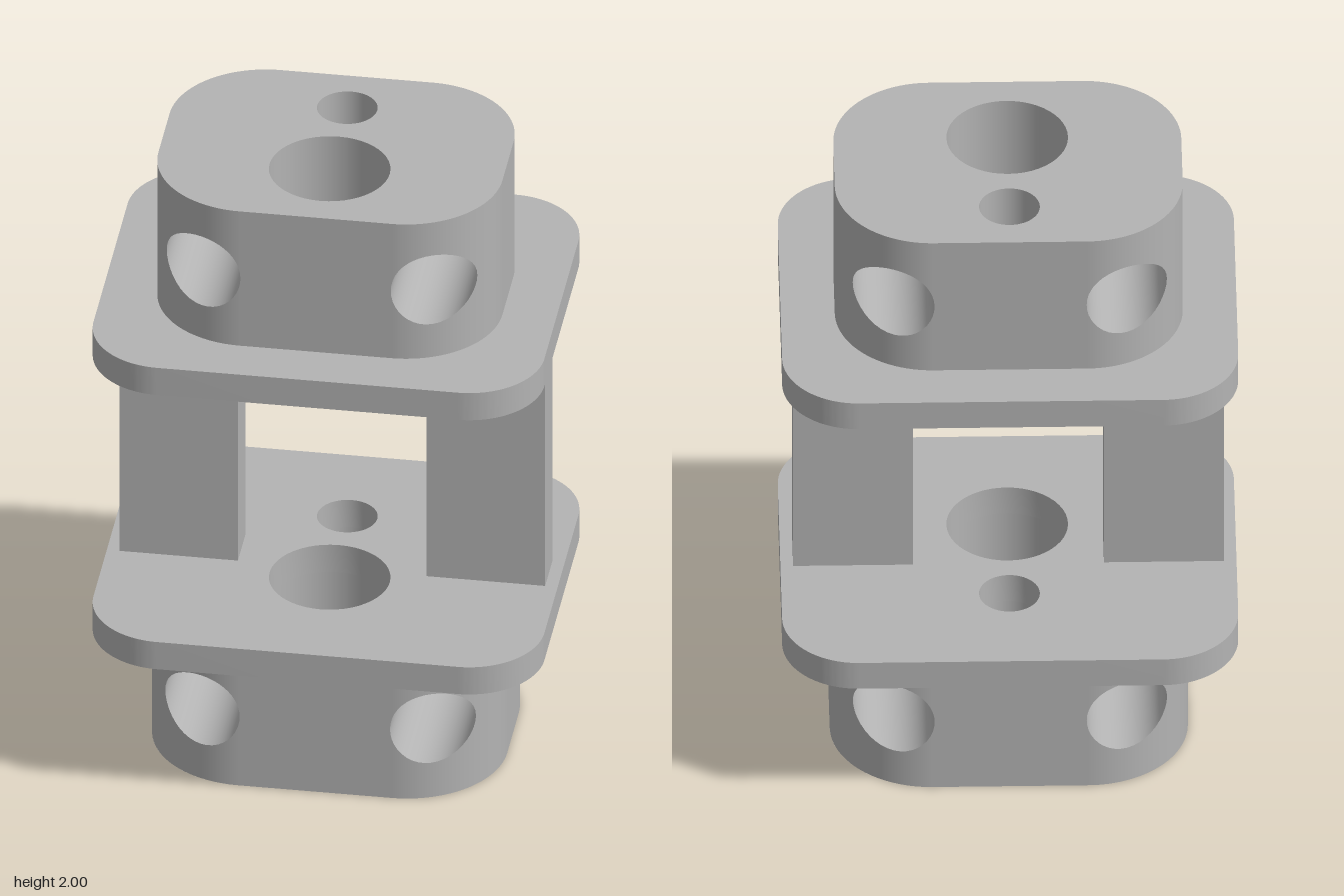
import * as THREE from 'three';
import { toCreasedNormals } from 'three/addons/utils/BufferGeometryUtils.js';

// Vertical bores through blocks and plates: [z, radius]
const BORES = [[0.122, 0.18], [-0.22, 0.09]];
const CROSS_X = 0.345, CROSS_R = 0.12, SEG = 40;

// Rounded rectangle in plan (shape y = -z), pierced by the bores
function planShape(w, d, r) {
  const s = new THREE.Shape();
  s.absarc(w - r, d - r, r, 0, Math.PI / 2);
  s.absarc(r - w, d - r, r, Math.PI / 2, Math.PI);
  s.absarc(r - w, r - d, r, Math.PI, 1.5 * Math.PI);
  s.absarc(w - r, r - d, r, 1.5 * Math.PI, 2 * Math.PI);
  s.closePath();
  for (const [z, br] of BORES) {
    s.holes.push(new THREE.Path().absarc(0, -z, br, 0, 2 * Math.PI, true));
  }
  return s;
}

// Collects quads; each corner is [x, y, z, nx, ny, nz], winding follows the normals
function quadBuilder() {
  const pos = [], nor = [];
  const v = (a, o = 0) => new THREE.Vector3(a[o], a[o + 1], a[o + 2]);
  return {
    quad(a, b, c, d) {
      const face = v(c).sub(v(a)).cross(v(d).sub(v(b)));
      const list = face.dot(v(a, 3).add(v(c, 3))) > 0 ? [a, b, c, a, c, d] : [a, c, b, a, d, c];
      for (const p of list) {
        pos.push(p[0], p[1], p[2]);
        nor.push(p[3], p[4], p[5]);
      }
    },
    build() {
      const g = new THREE.BufferGeometry();
      g.setAttribute('position', new THREE.Float32BufferAttribute(pos, 3));
      g.setAttribute('normal', new THREE.Float32BufferAttribute(nor, 3));
      return g;
    },
  };
}

// Outer wall of a block with two round openings front and back, plus their tunnels
function blockWalls(w, d, r, y0, y1, yc) {
  const depth = (x) => {
    const e = Math.max(0, Math.abs(x) - (w - r));
    return d - r + Math.sqrt(Math.max(0, r * r - e * e));
  };
  const wallPoint = (x, y, side) => {
    const e = Math.max(0, Math.abs(x) - (w - r)), z = depth(x);
    return [x, y, side * z, Math.sign(x) * e / r, 0, side * (z - d + r) / r];
  };
  // Sample positions along x: opening edge inside, corner arc elsewhere
  const half = [0];
  for (let i = 0; i <= SEG / 2; i++) half.push(CROSS_X - CROSS_R * Math.cos(i * 2 * Math.PI / SEG));
  for (let i = 0; i <= 24; i++) {
    const x = w - r + r * Math.sin(i * Math.PI / 48);
    if (Math.abs(x - CROSS_X) > CROSS_R + 0.001) half.push(x);
  }
  half.sort((a, b) => a - b);
  const wall = quadBuilder(), tunnel = quadBuilder();
  const rise = (x) => Math.sqrt(Math.max(0, CROSS_R ** 2 - (x - CROSS_X) ** 2));
  for (const m of [1, -1]) {
    for (const side of [1, -1]) {
      for (let i = 0; i < half.length - 1; i++) {
        const a = half[i], b = half[i + 1];
        const strip = (a0, b0, a1, b1) => wall.quad(
          wallPoint(m * a, a0, side), wallPoint(m * b, b0, side),
          wallPoint(m * b, b1, side), wallPoint(m * a, a1, side));
        if (Math.abs((a + b) / 2 - CROSS_X) < CROSS_R) {
          strip(y0, y0, yc - rise(a), yc - rise(b));
          strip(yc + rise(a), yc + rise(b), y1, y1);
        } else strip(y0, y0, y1, y1);
      }
    }
    // Flat end
    const end = (y, s) => [m * w, y, s * (d - r), m, 0, 0];
    wall.quad(end(y0, 1), end(y0, -1), end(y1, -1), end(y1, 1));
    // Cross tunnel
    const rim = (k, s) => {
      const t = k * 2 * Math.PI / SEG, x = m * CROSS_X + CROSS_R * Math.cos(t);
      return [x, yc + CROSS_R * Math.sin(t), s * depth(x), -Math.cos(t), -Math.sin(t), 0];
    };
    for (let k = 0; k < SEG; k++) tunnel.quad(rim(k, 1), rim(k + 1, 1), rim(k + 1, -1), rim(k, -1));
  }
  return [wall.build(), tunnel.build()];
}

export function createModel() {
  const model = new THREE.Group();
  model.name = 'spacerBracket';
  const grey = new THREE.MeshStandardMaterial({ color: 0xb3b3b3, side: THREE.DoubleSide });
  grey.name = 'grey';
  const add = (parent, name, geometry) => {
    const mesh = new THREE.Mesh(geometry, grey);
    mesh.name = name;
    parent.add(mesh);
    return mesh;
  };

  // Drilled end block; faceY is its exposed horizontal face
  function addBlock(name, w, d, r, y0, y1, yc, faceY) {
    const block = new THREE.Group();
    block.name = name;
    const [wall, tunnels] = blockWalls(w, d, r, y0, y1, yc);
    add(block, 'blockWall', wall);
    add(block, 'crossTunnels', tunnels);
    const up = faceY === y1;
    const cap = new THREE.ShapeGeometry(planShape(w, d, r), 24);
    if (up) cap.rotateX(-Math.PI / 2);
    else {
      // Mirror the plan so the bores stay in line on the underside
      cap.rotateX(-Math.PI / 2).scale(1, -1, 1);
      const idx = cap.index.array;
      for (let i = 0; i < idx.length; i += 3) [idx[i], idx[i + 1]] = [idx[i + 1], idx[i]];
      cap.computeVertexNormals();
    }
    add(block, 'blockFace', cap.translate(0, faceY, 0));
    for (const [z, br] of BORES) {
      const bore = new THREE.CylinderGeometry(br, br, y1 - y0, 48, 1, true);
      add(block, 'boreWall', bore.translate(0, (y0 + y1) / 2, z));
    }
    model.add(block);
  }
  addBlock('upperBlock', 0.515, 0.396, 0.288, 1.53, 2, 1.765, 2);
  addBlock('lowerBlock', 0.53, 0.411, 0.3, 0, 0.475, 0.24, 0);

  // Flange plates
  for (const [name, y] of [['upperPlate', 1.435], ['lowerPlate', 0.475]]) {
    const plate = new THREE.ExtrudeGeometry(planShape(0.675, 0.555, 0.225),
      { depth: 0.095, bevelEnabled: false, curveSegments: 24 });
    add(model, name, toCreasedNormals(plate.rotateX(-Math.PI / 2), 0.6)).position.y = y;
  }

  // Pillars joining the plates
  for (const [name, m] of [['leftPillar', 1], ['rightPillar', -1]]) {
    add(model, name, new THREE.BoxGeometry(0.355, 0.865, 0.145)).position.set(m * 0.46, 1.0025, 0);
  }
  return model;
}
